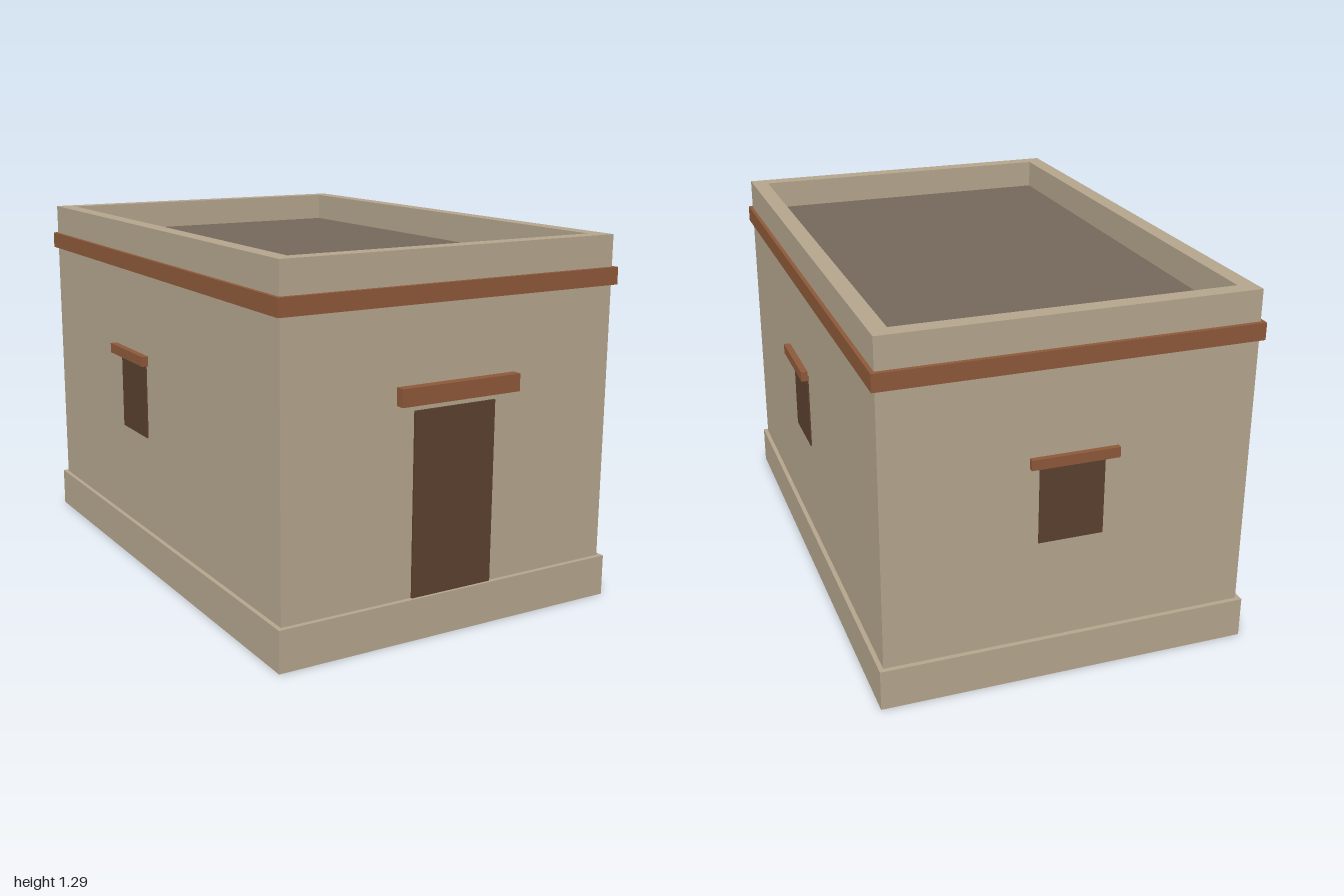
import * as THREE from 'three';

export function createModel() {
  const model = new THREE.Group();
  model.name = 'adobeHouse';
  const CZ = -0.005; // centre of the walls in z

  const material = (name, color, side = THREE.FrontSide) => {
    const m = new THREE.MeshStandardMaterial({ color, side });
    m.name = name;
    return m;
  };
  const adobe = material('adobe', 0xb3a48c, THREE.DoubleSide);
  const timber = material('timber', 0x8d5839);
  const opening = material('darkOpening', 0x5a402e);
  const roofing = material('roofEarth', 0x73685a);

  const add = (name, geometry, mat, parent = model) => {
    const mesh = new THREE.Mesh(geometry, mat);
    mesh.name = name;
    parent.add(mesh);
    return mesh;
  };
  // box given by its limits on each axis
  const box = (name, [x0, x1], [y0, y1], [z0, z1], mat, parent) => {
    const mesh = add(name, new THREE.BoxGeometry(x1 - x0, y1 - y0, z1 - z0), mat, parent);
    mesh.position.set((x0 + x1) / 2, (y0 + y1) / 2, (z0 + z1) / 2);
    return mesh;
  };
  // rectangular ring with half sizes outside and inside, from y0 to y1
  const ring = (name, [ox, oz], [ix, iz], y0, y1, mat) => {
    const rect = (Type, x, z) => new Type(
      [[-x, -z], [x, -z], [x, z], [-x, z]].map(([a, b]) => new THREE.Vector2(a, b)));
    const shape = rect(THREE.Shape, ox, oz);
    shape.holes.push(rect(THREE.Path, ix, iz));
    const g = new THREE.ExtrudeGeometry(shape, { depth: y1 - y0, bevelEnabled: false });
    g.rotateX(-Math.PI / 2).translate(0, y0, CZ);
    return add(name, g, mat);
  };

  // plinth: a box left open underneath
  const plinth = new THREE.BoxGeometry(1.316, 0.145, 1.96);
  const faces = Array.from(plinth.index.array);
  faces.splice(18, 6);
  plinth.setIndex(faces);
  plinth.clearGroups();
  add('plinth', plinth, adobe).position.set(0, 0.0725, CZ);

  // walls with parapet, sunken roof and timber band
  ring('walls', [0.642, 0.963], [0.582, 0.903], 0.145, 1.29, adobe);
  box('roof', [-0.582, 0.582], [1.145, 1.185], [CZ - 0.903, CZ + 0.903], roofing);
  ring('timberBand', [0.656, 0.979], [0.63, 0.95], 1.12, 1.18, timber);

  // front door, its foot reaching down behind the plinth
  box('door', [-0.158, 0.158], [0.07, 0.777], [0.957, 0.965], opening);
  box('doorLintel', [-0.23, 0.23], [0.803, 0.863], [0.966, 1.0], timber);

  // windows: built facing +z, then turned onto their wall
  const windows = [
    ['backWindow', 0, CZ - 0.963, Math.PI, 0.013],
    ['leftWindow', 0.642, 0.097, Math.PI / 2, 0.01],
    ['rightWindow', -0.642, -0.168, -Math.PI / 2, 0.01],
  ];
  for (const [name, x, z, turn, gap] of windows) {
    const group = new THREE.Group();
    group.name = name;
    group.position.set(x, 0, z);
    group.rotation.y = turn;
    box('windowPane', [-0.113, 0.113], [0.51, 0.792], [-0.003, 0.005], opening, group);
    box('windowLintel', [-0.152, 0.152], [0.79, 0.826], [gap, gap === 0.013 ? 0.032 : 0.034], timber, group);
    model.add(group);
  }
  return model;
}
